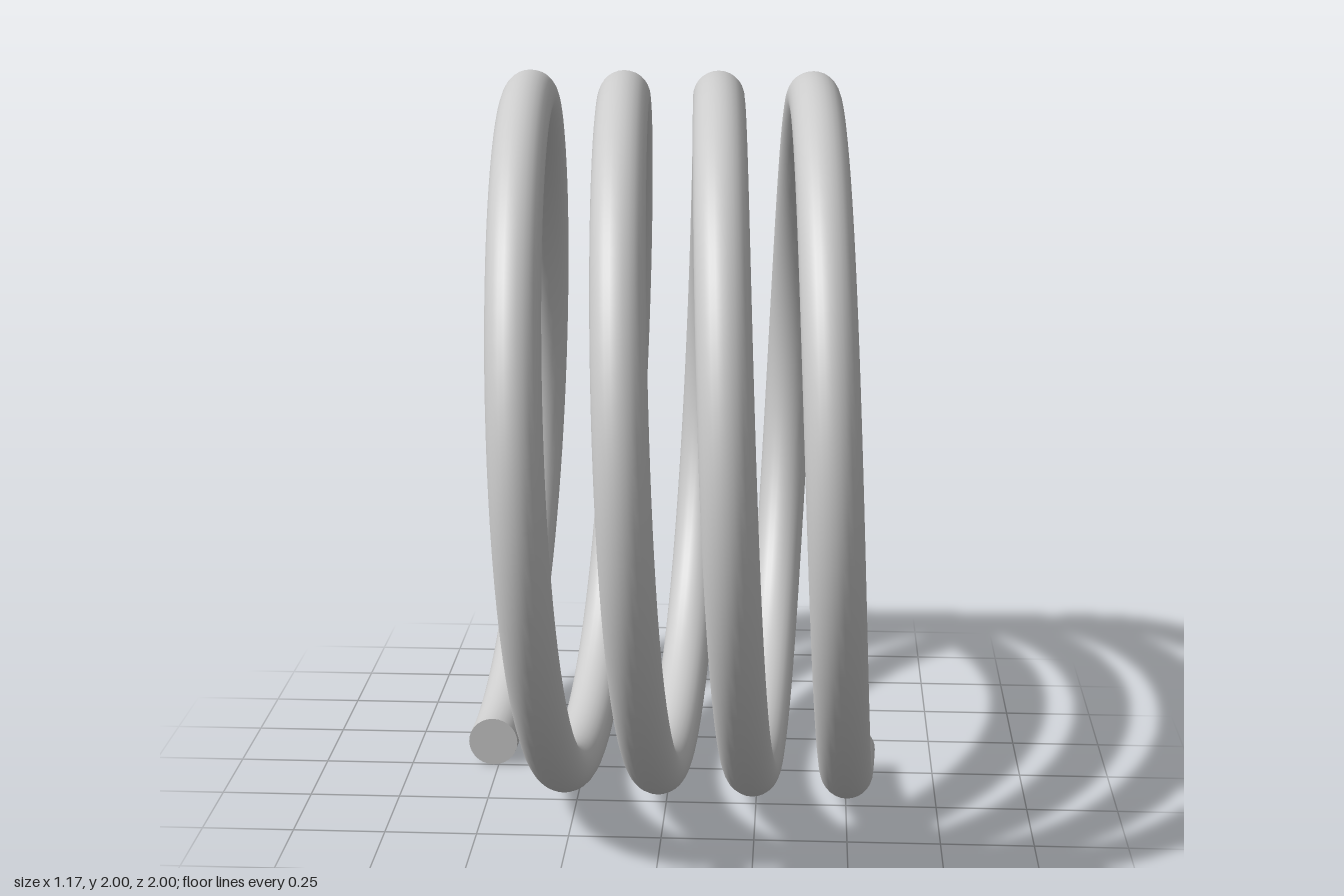
import * as THREE from 'three';

const TURNS = 4, COIL_R = 0.93, WIRE_R = 0.07, HALF_LENGTH = 0.515;
const SEGMENTS = TURNS * 80, SIDES = 28;

// Torus swept over several turns, sheared along its axis into a helix around x
function coilGeometry() {
  const geo = new THREE.TorusGeometry(COIL_R, WIRE_R, SIDES, SEGMENTS, TURNS * Math.PI * 2);
  const pos = geo.attributes.position;
  for (let i = 0; i < pos.count; i++) {
    const t = (i % (SEGMENTS + 1)) / SEGMENTS;
    pos.setZ(i, pos.getZ(i) + HALF_LENGTH * (2 * t - 1));
  }
  // Lay the axis along x, with both wire ends at the bottom
  geo.applyMatrix4(new THREE.Matrix4().makeBasis(
    new THREE.Vector3(0, -1, 0),
    new THREE.Vector3(0, 0, -1),
    new THREE.Vector3(1, 0, 0)
  ));
  return geo;
}

export function createModel() {
  const model = new THREE.Group();
  model.name = 'coilSpring';
  const material = new THREE.MeshStandardMaterial({ color: 0xcccccc });

  const coil = new THREE.Mesh(coilGeometry(), material);
  coil.name = 'coil';
  coil.position.y = COIL_R + WIRE_R;
  model.add(coil);

  // Flat cut ends: the right one faces forward, the left one backward
  for (const side of [-1, 1]) {
    const cap = new THREE.Mesh(new THREE.CircleGeometry(WIRE_R, SIDES), material);
    cap.name = side < 0 ? 'rightWireEnd' : 'leftWireEnd';
    cap.position.set(side * HALF_LENGTH, WIRE_R, 0);
    if (side > 0) cap.rotation.y = Math.PI;
    model.add(cap);
  }
  return model;
}
